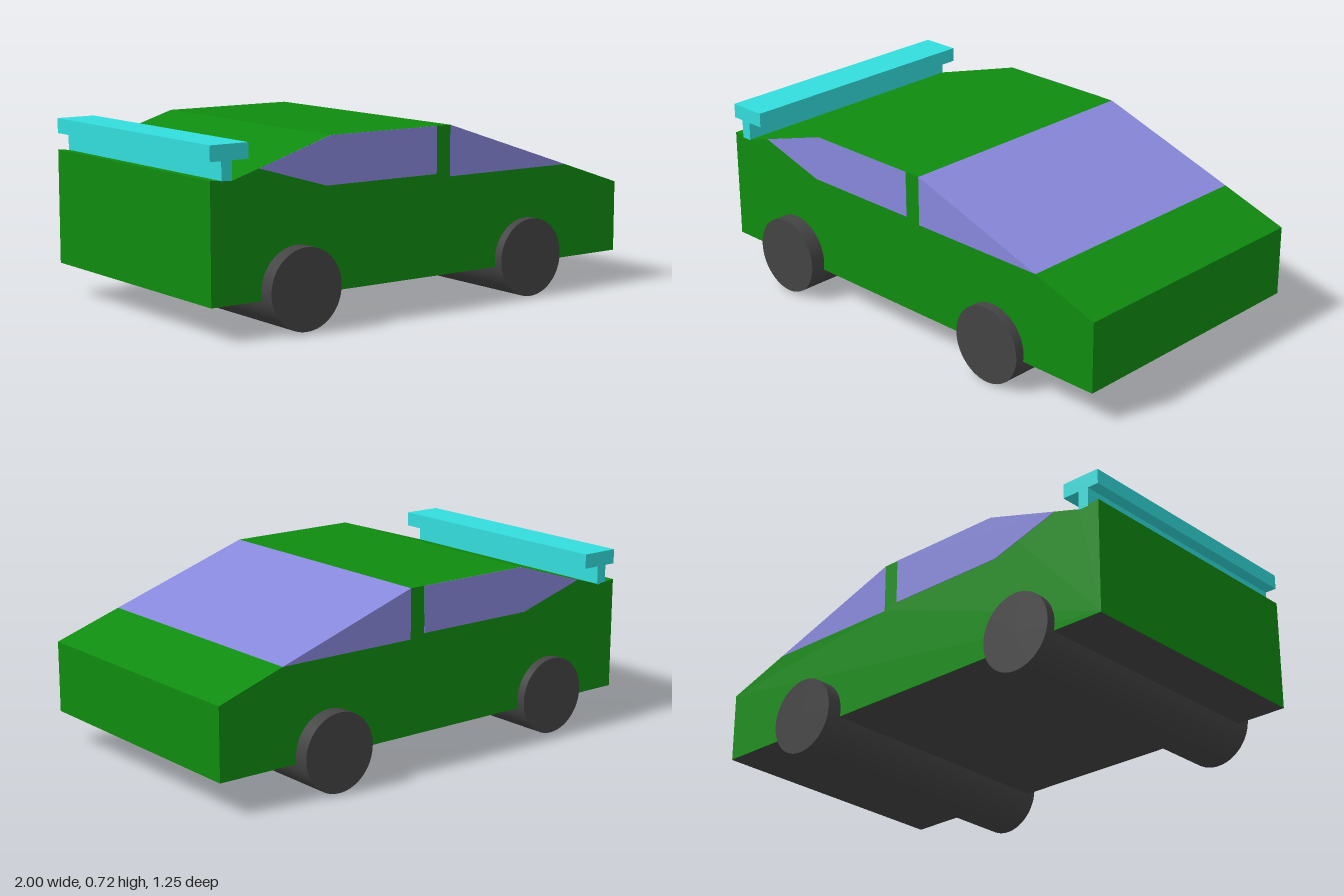
import * as THREE from 'three';

const material = (color, extra = {}) => new THREE.MeshStandardMaterial({ color, ...extra });
const Z_BACK = -0.563, Z_FRONT = 0.557;

// Extrudes an x-y outline from z0 to z1
function prism(name, points, mat, z0 = Z_BACK, z1 = Z_FRONT) {
  const shape = new THREE.Shape(points.map(([x, y]) => new THREE.Vector2(x, y)));
  const geometry = new THREE.ExtrudeGeometry(shape, { depth: z1 - z0, bevelEnabled: false });
  geometry.translate(0, 0, z0);
  const mesh = new THREE.Mesh(geometry, mat);
  mesh.name = name;
  return mesh;
}

export function createModel() {
  const car = new THREE.Group();
  car.name = 'car';
  const paint = material(0x0f8c0f);
  const glass = material(0x8888dd);
  const cyan = material(0x33dddd);
  const rubber = material(0x444444);

  // Body, notched where the windshield wedge sits
  car.add(prism('body', [
    [-1, 0.13], [1, 0.13], [1, 0.42], [0.715, 0.515], [0.105, 0.515],
    [0.105, 0.717], [-0.47, 0.717], [-0.91, 0.582], [-1, 0.59],
  ], paint));

  // Windshield together with the front side windows
  car.add(prism('windshield', [[0.105, 0.515], [0.715, 0.515], [0.105, 0.717]], glass));

  // Rear side windows, thin panes on both flanks
  const pane = [[-0.79, 0.618], [-0.49, 0.53], [0.037, 0.53], [0.037, 0.717], [-0.47, 0.717]];
  car.add(prism('rearSideWindowFront', pane, glass, Z_FRONT, Z_FRONT + 0.002));
  car.add(prism('rearSideWindowBack', pane, glass, Z_BACK - 0.002, Z_BACK));

  // Dark floor under the body
  const floor = new THREE.Mesh(new THREE.PlaneGeometry(2, Z_FRONT - Z_BACK), rubber);
  floor.name = 'floor';
  floor.rotation.x = Math.PI / 2;
  floor.position.set(0, 0.128, (Z_FRONT + Z_BACK) / 2);
  car.add(floor);

  // Wheel pairs, each a single roller across the car
  for (const [name, x, y, z] of [['rearWheels', -0.625, 0.164, 0.01], ['frontWheels', 0.5, 0.158, -0.015]]) {
    const wheels = new THREE.Mesh(new THREE.CylinderGeometry(0.158, 0.158, 1.222, 64), rubber);
    wheels.name = name;
    wheels.rotation.x = Math.PI / 2;
    wheels.position.set(x, y, z);
    car.add(wheels);
  }

  // T-shaped spoiler
  car.add(prism('spoiler', [
    [-0.952, 0.58], [-0.907, 0.58], [-0.907, 0.657], [-0.835, 0.657],
    [-0.835, 0.717], [-1, 0.717], [-1, 0.657], [-0.952, 0.657],
  ], cyan));

  return car;
}
